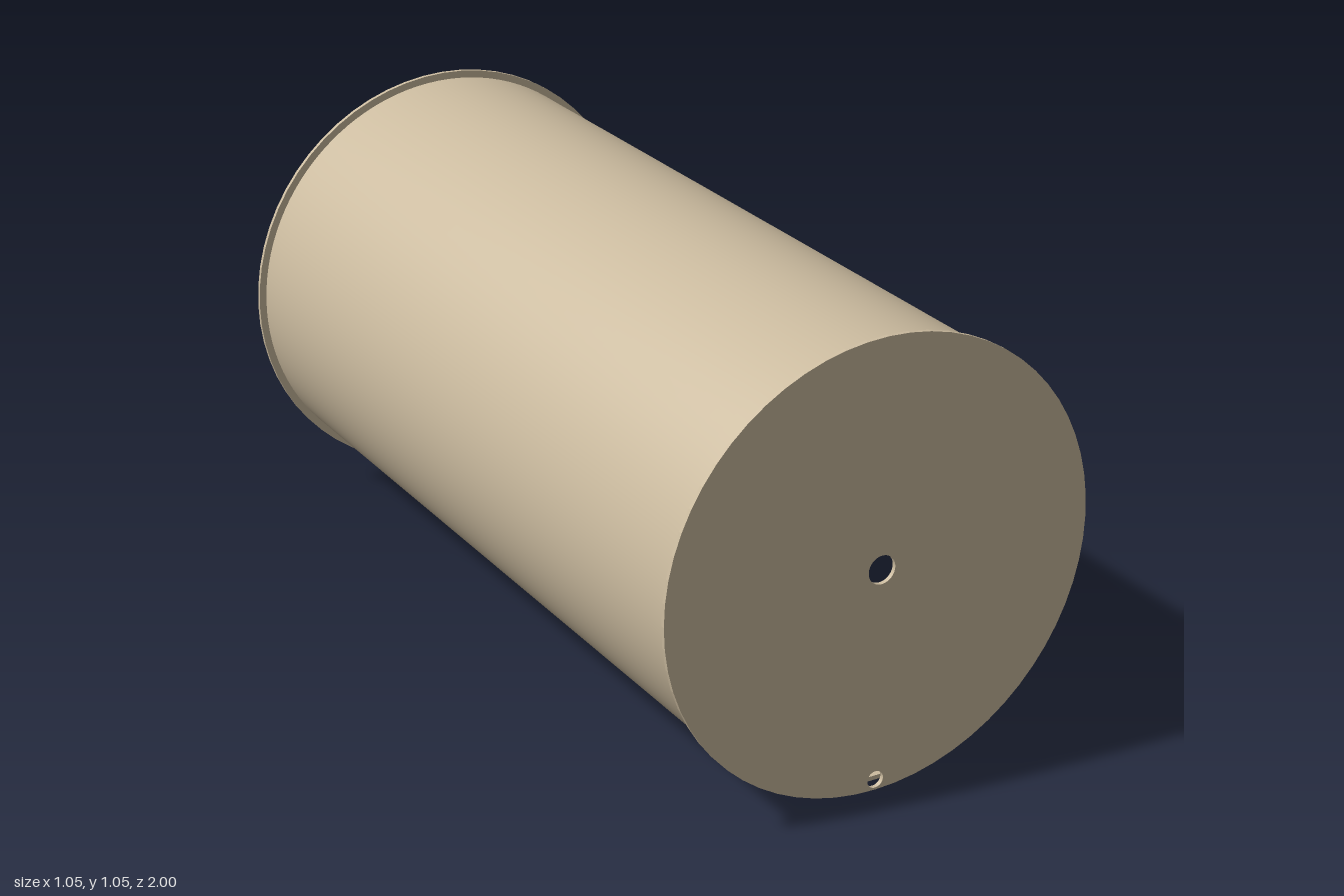
import * as THREE from 'three';
import { mergeGeometries } from 'three/addons/utils/BufferGeometryUtils.js';

const AXIS_Y = 0.525;          // height of the drum axis
const DISC_R = 0.523, DISC_T = 0.01;
const OUTER = 0.505, INNER = 0.495;
const HALF = 1 - DISC_T;       // half length of the shell
const rad = THREE.MathUtils.degToRad;

// Bend a unit plane into a surface given by f(u, v, target)
function surface(nu, nv, f) {
  const g = new THREE.PlaneGeometry(1, 1, nu, nv);
  const p = g.attributes.position, t = new THREE.Vector3();
  for (let i = 0; i < p.count; i++) {
    f(p.getX(i) + 0.5, p.getY(i) + 0.5, t);
    p.setXYZ(i, t.x, t.y, t.z);
  }
  g.computeVertexNormals();
  return g;
}

// Point on the shell: a runs round the wall, w along it, k from inner to outer face.
// The opening is widest in the middle of the length.
function shellPoint(a, w, k, t) {
  const halfGap = 60 + 15 * Math.sin(Math.PI * w);
  const angle = rad(-25 + halfGap + a * (360 - 2 * halfGap));
  const r = INNER + k * (OUTER - INNER);
  t.set(r * Math.cos(angle), r * Math.sin(angle), (2 * w - 1) * HALF);
}

function shellGeometry() {
  const N = 72, L = 32;
  return mergeGeometries([
    surface(N, L, (u, v, t) => shellPoint(u, v, 1, t)),       // outer wall
    surface(N, L, (u, v, t) => shellPoint(1 - u, v, 0, t)),   // inner wall
    surface(1, L, (u, v, t) => shellPoint(0, v, u, t)),       // upper lip
    surface(1, L, (u, v, t) => shellPoint(1, v, 1 - u, t)),   // lower lip
    surface(1, N, (u, v, t) => shellPoint(v, 1, u, t)),       // front rim
    surface(1, N, (u, v, t) => shellPoint(v, 0, 1 - u, t)),   // back rim
  ]);
}

// Disc with a central axle hole and a small hole near the bottom
function discGeometry() {
  const shape = new THREE.Shape().absarc(0, 0, DISC_R, 0, Math.PI * 2, false);
  for (const [y, r] of [[0, 0.033], [-0.498, 0.02]]) {
    shape.holes.push(new THREE.Path().absarc(0, y, r, 0, Math.PI * 2, true));
  }
  return new THREE.ExtrudeGeometry(shape, { depth: DISC_T, bevelEnabled: false, curveSegments: 32 });
}

export function createModel() {
  const tan = new THREE.MeshStandardMaterial({ color: 0xcbbb9f });
  tan.name = 'tan';

  const model = new THREE.Group();
  model.name = 'openDrum';
  const add = (name, geometry, z) => {
    const mesh = new THREE.Mesh(geometry, tan);
    mesh.name = name;
    mesh.position.set(0, AXIS_Y, z);
    model.add(mesh);
  };

  add('shell', shellGeometry(), 0);
  const disc = discGeometry();
  add('frontDisc', disc, HALF);
  add('backDisc', disc, -1);
  return model;
}
